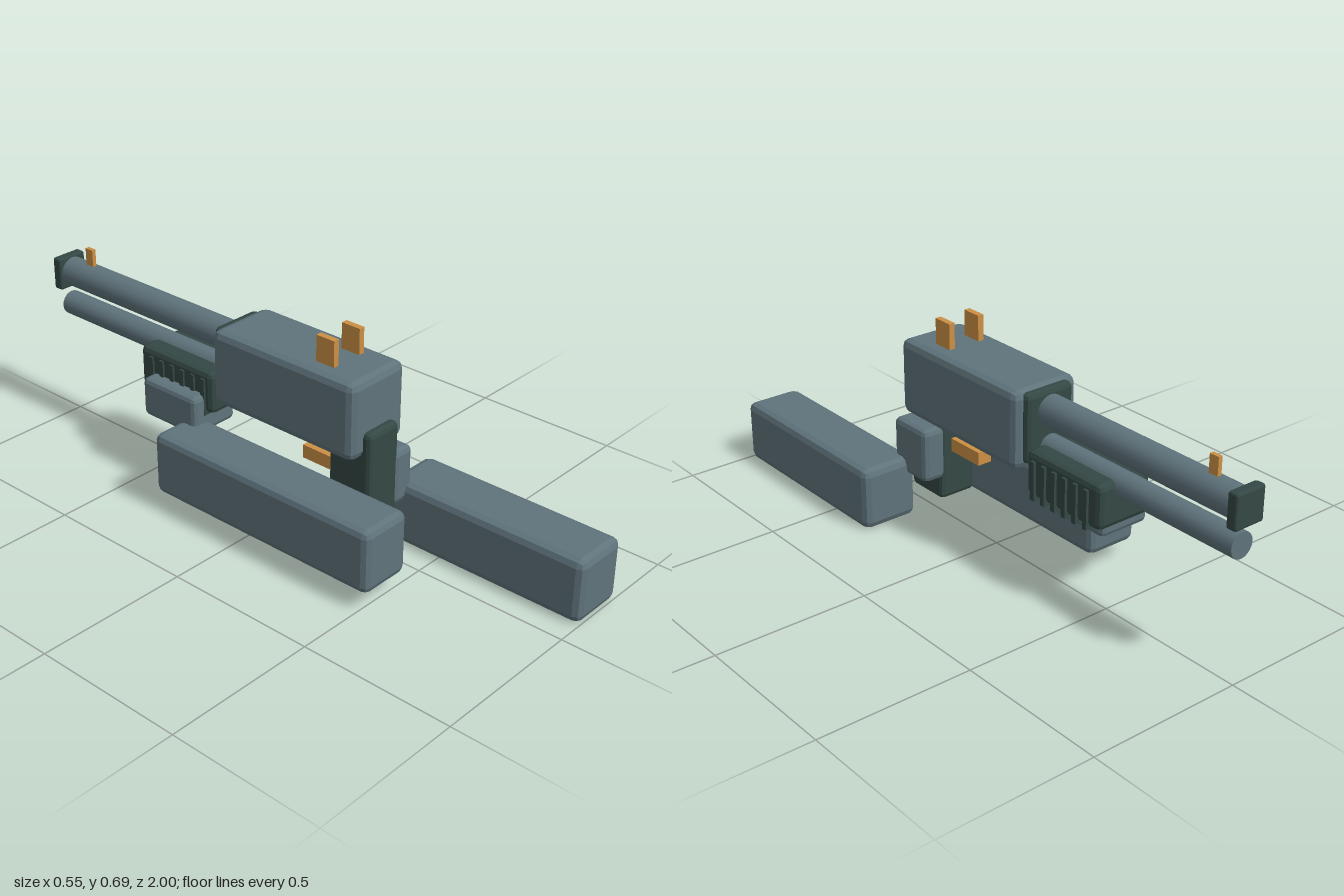
import * as THREE from 'three';
import { RoundedBoxGeometry } from 'three/addons/geometries/RoundedBoxGeometry.js';

export function createModel() {
  const root = new THREE.Group();
  const mat = (name, color) => {
    const m = new THREE.MeshStandardMaterial({ color });
    m.name = name;
    return m;
  };
  const steel = mat('blue grey steel', 0x5f737b);
  const dark = mat('dark green grey', 0x344844);
  const orange = mat('orange accent', 0xcc9044);

  const add = (name, geo, material, x, y, z) => {
    const mesh = new THREE.Mesh(geo, material);
    mesh.name = name;
    mesh.position.set(x, y, z);
    root.add(mesh);
    return mesh;
  };

  // Box given by its ranges [min, max]; bevel > 0 gives faceted rounded edges
  const box = (name, material, [x0, x1], [y0, y1], [z0, z1], bevel = 0) => {
    const size = [x1 - x0, y1 - y0, z1 - z0];
    const geo = bevel
      ? new RoundedBoxGeometry(...size, 1, bevel)
      : new THREE.BoxGeometry(...size);
    geo.computeVertexNormals();
    return add(name, geo, material, (x0 + x1) / 2, (y0 + y1) / 2, (z0 + z1) / 2);
  };

  // Tube lying along z
  const rod = (name, y, radius, z0, z1) => {
    const geo = new THREE.CylinderGeometry(radius, radius, z1 - z0, 20).rotateX(Math.PI / 2);
    return add(name, geo, steel, CX, y, (z0 + z1) / 2);
  };
  const CX = -0.018; // centre line of the main body

  // Main body
  box('receiver', steel, [-0.135, 0.099], [0.357, 0.604], [-0.205, 0.345], 0.024);
  box('receiverCollar', dark, [-0.105, 0.069], [0.375, 0.597], [-0.224, -0.15], 0.016);
  box('underPlate', dark, [-0.098, 0.062], [0.345, 0.37], [0.05, 0.26]);

  // Barrel, magazine tube and muzzle
  rod('barrel', 0.532, 0.048, -0.97, -0.19);
  rod('magazineTube', 0.415, 0.04, -0.98, -0.19);
  box('muzzle', dark, [-0.072, 0.034], [0.477, 0.586], [-1, -0.965], 0.007);

  // Pump with side ribs, and the block beneath it
  box('pump', dark, [-0.115, 0.077], [0.295, 0.436], [-0.543, -0.228], 0.018);
  for (let i = 0; i < 6; i++) {
    const z = -0.265 - i * 0.045;
    box('pumpRib', dark, [-0.122, 0.086], [0.288, 0.412], [z - 0.008, z + 0.008]);
  }
  box('pumpBlock', steel, [-0.164, 0.012], [0.228, 0.358], [-0.487, -0.258], 0.016);

  // Grip, side block and trigger
  box('grip', dark, [-0.083, 0.047], [0.079, 0.437], [0.215, 0.372], 0.015);
  box('gripBlock', steel, [0.03, 0.112], [0.155, 0.333], [0.213, 0.374], 0.018);
  box('trigger', orange, [CX - 0.025, CX + 0.025], [0.24, 0.284], [0.08, 0.215]);

  // Long side blocks
  box('rightBlock', steel, [-0.274, -0.096], [0.059, 0.264], [-0.325, 0.525], 0.022);
  box('leftBlock', steel, [0.079, 0.272], [0.002, 0.208], [0.31, 1], 0.024);

  // Sights
  for (const side of [-1, 1]) {
    const x = CX + side * 0.055;
    box('rearSight', orange, [x - 0.01, x + 0.01], [0.607, 0.69], [0.165, 0.232]);
  }
  box('frontSight', orange, [CX - 0.007, CX + 0.007], [0.57, 0.636], [-0.887, -0.855]);

  return root;
}
